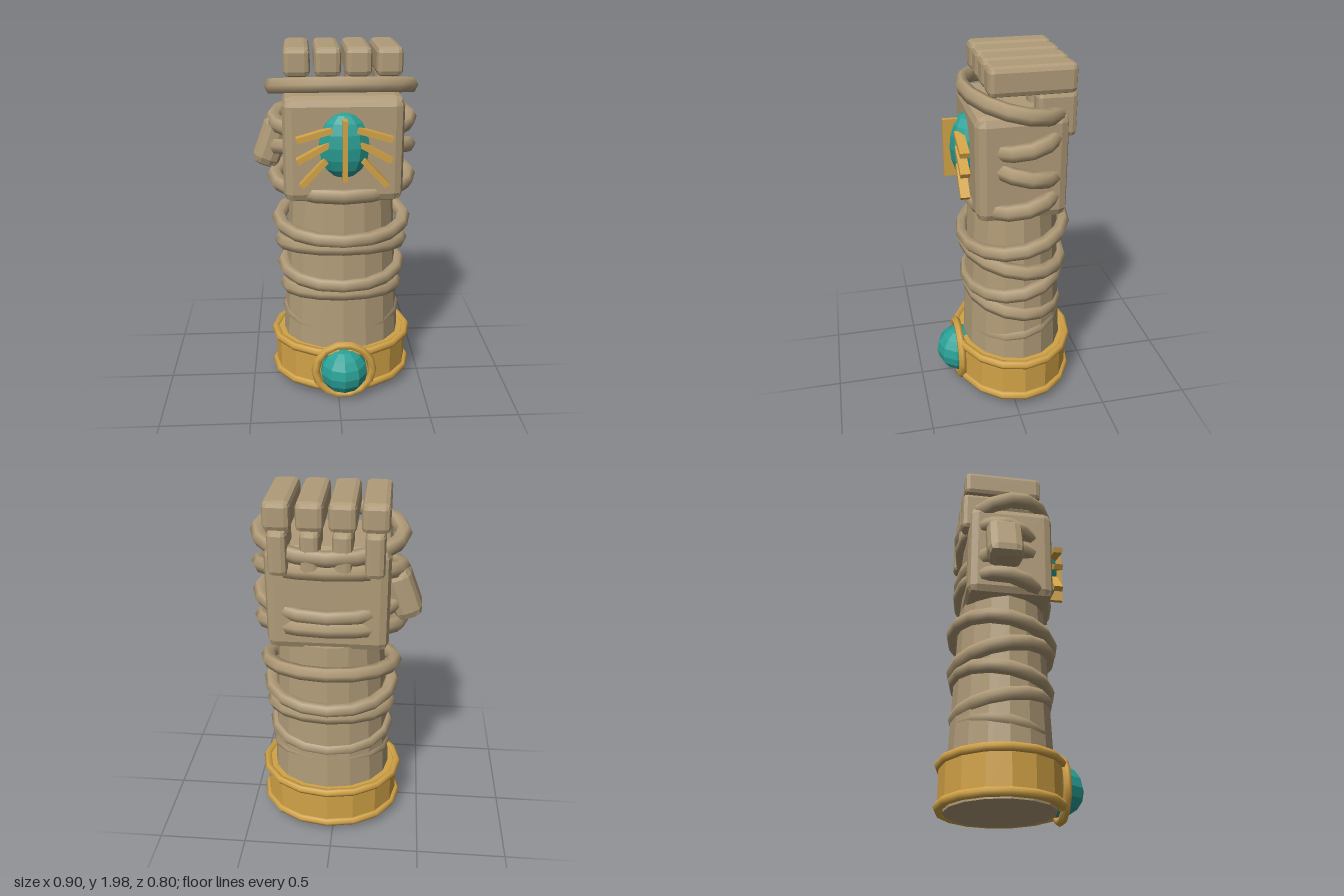
import * as THREE from 'three';
import { RoundedBoxGeometry } from 'three/addons/geometries/RoundedBoxGeometry.js';

const CX = 0.03, CZ = -0.05; // axis of the arm

// Faceted copy of a geometry
function faceted(geometry) {
  const g = geometry.index ? geometry.toNonIndexed() : geometry;
  g.computeVertexNormals();
  return g;
}

export function createModel() {
  const model = new THREE.Group();
  model.name = 'wrappedFist';

  const cloth = new THREE.MeshStandardMaterial({ color: 0xb09b78 });
  cloth.name = 'tan cloth';
  const gold = new THREE.MeshStandardMaterial({ color: 0xd2a347 });
  gold.name = 'gold';
  const teal = new THREE.MeshStandardMaterial({ color: 0x2aa096 });
  teal.name = 'teal gem';

  function add(name, geometry, material, x, y, z, parent = model) {
    const mesh = new THREE.Mesh(geometry, material);
    mesh.name = name;
    mesh.position.set(x, y, z);
    parent.add(mesh);
    return mesh;
  }
  const block = (w, h, d, r) => faceted(new RoundedBoxGeometry(w, h, d, 1, r));

  // Oval ring lying flat; a positive tilt lowers its front
  function ring(name, material, radius, tube, y, z, depth, tilt = 0) {
    const mesh = add(name, new THREE.TorusGeometry(radius, tube, 6, 16), material, CX, y, z);
    mesh.scale.y = depth;
    mesh.rotation.x = Math.PI / 2 + tilt;
    return mesh;
  }

  // Forearm
  const forearm = faceted(new THREE.CylinderGeometry(0.29, 0.355, 1.15, 16));
  add('forearm', forearm, cloth, CX, 0.64, CZ).scale.z = 0.84;

  // Wrist cuff with two rims
  const cuff = faceted(new THREE.CylinderGeometry(0.39, 0.39, 0.24, 16));
  add('cuff', cuff, gold, CX, 0.2, CZ).scale.z = 0.84;
  for (const y of [0.09, 0.31]) ring('cuffRim', gold, 0.392, 0.025, y, CZ, 0.84);

  // Cuff gem in its setting
  const gem = faceted(new THREE.SphereGeometry(0.138, 10, 8).rotateY(Math.PI / 2));
  add('cuffGem', gem, teal, CX, 0.2, 0.265);
  add('cuffGemSetting', new THREE.TorusGeometry(0.163, 0.024, 6, 14), gold, CX, 0.2, 0.275);

  // Forearm wraps, alternately tilted and sinking into the arm
  for (let i = 0; i < 5; i++) {
    ring('forearmWrap', cloth, 0.355 - 0.0125 * i, 0.042, 1.03 - 0.14 * i, CZ, 0.81,
      (i % 2 ? -1 : 1) * 0.17);
  }

  // Palm
  add('palm', block(0.64, 0.57, 0.48, 0.05), cloth, CX, 1.475, -0.04);

  // Hand wraps: height, z, depth ratio, tilt
  const wraps = [
    [1.775, CZ, 0.71, -0.2],
    [1.6, -0.065, 0.655, 0.2],
    [1.445, -0.065, 0.655, -0.2],
    [1.28, CZ, 0.7, 0.2],
  ];
  for (const [y, z, depth, tilt] of wraps) {
    ring('handWrap', cloth, 0.373, 0.045, y, z, depth, tilt);
  }

  // Curled fingers, each with a folded lower joint at the back
  for (let i = 0; i < 4; i++) {
    const x = -0.21 + 0.16 * i;
    add('finger', block(0.138, 0.15, 0.445, 0.028), cloth, x, 1.925, -0.0875);
    add('fingerJoint', block(0.1, 0.24, 0.21, 0.028), cloth, x, 1.74, -0.215);
  }

  // Thumb
  const thumb = add('thumb', block(0.15, 0.29, 0.2, 0.05), cloth, -0.352, 1.475, -0.09);
  thumb.rotation.z = -0.35;

  // Scarab ornament on the front of the palm
  const scarab = new THREE.Group();
  scarab.name = 'scarab';
  scarab.position.set(CX, 1.51, 0.2);
  model.add(scarab);
  const body = faceted(new THREE.SphereGeometry(1, 10, 8).rotateY(Math.PI / 2).scale(0.138, 0.175, 0.09));
  add('scarabBody', body, teal, 0, 0, 0, scarab);
  add('scarabSpine', new THREE.BoxGeometry(0.025, 0.315, 0.09), gold, 0, -0.005, 0.075, scarab);
  // Legs: x, y, downward slope
  for (const [x, y, slope] of [[0.155, 0.067, 0.28], [0.16, -0.025, 0.5], [0.16, -0.135, 0.82]]) {
    for (const side of [-1, 1]) {
      const leg = add('scarabLeg', new THREE.BoxGeometry(0.19, 0.03, 0.05), gold, side * x, y, 0.045, scarab);
      leg.rotation.z = -side * slope;
    }
  }

  return model;
}
